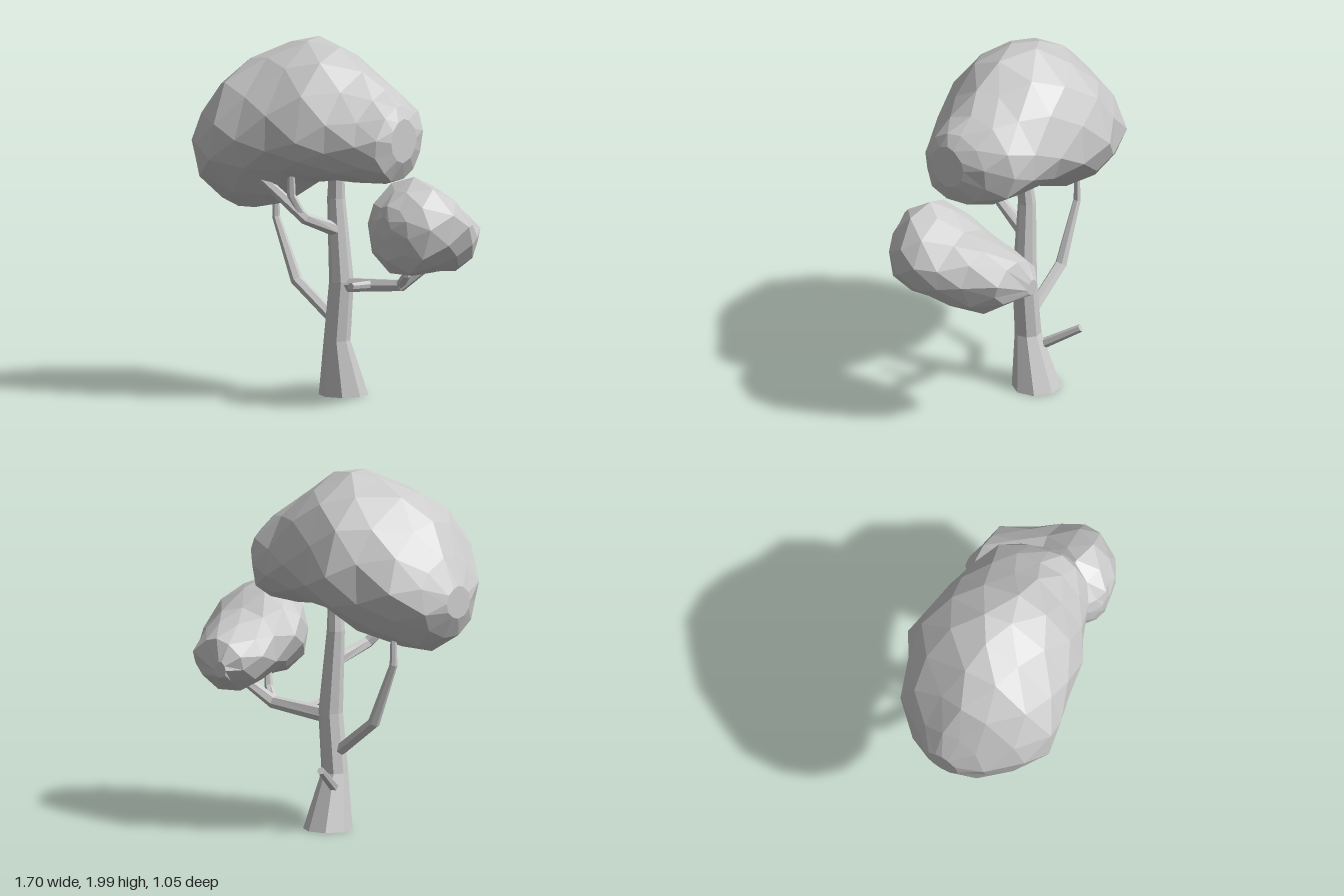
import * as THREE from 'three';

const material = new THREE.MeshStandardMaterial({
  color: 0xcccccc, flatShading: true, side: THREE.DoubleSide,
});
const V = (x, y, z) => new THREE.Vector3(x, y, z);

// Small seeded generator, returns -0.5..0.5
function seeded(seed) {
  return () => {
    seed = (seed * 16807) % 2147483647;
    return seed / 2147483647 - 0.5;
  };
}

// Joins equal-length rings into a faceted skin facing outward
function skin(name, rings, openStart = false) {
  const tris = [];
  const n = rings[0].length;
  for (let i = 0; i < rings.length - 1; i++) {
    for (let j = 0; j < n; j++) {
      const a = rings[i][j], b = rings[i][(j + 1) % n];
      const c = rings[i + 1][(j + 1) % n], d = rings[i + 1][j];
      // Split each quad along its shorter diagonal
      if (a.distanceTo(c) < b.distanceTo(d)) tris.push([a, b, c], [a, c, d]);
      else tris.push([a, b, d], [b, c, d]);
    }
  }
  // End caps as fans around the ring centres
  [rings[0], rings[rings.length - 1]].forEach((ring, end) => {
    if (openStart && end === 0) return;
    const mid = ring.reduce((s, p) => s.add(p), V(0, 0, 0)).divideScalar(n);
    ring.forEach((p, j) => {
      const q = ring[(j + 1) % n];
      tris.push(end ? [p, q, mid] : [q, p, mid]);
    });
  });
  const volume = tris.reduce((s, [a, b, c]) => s + a.dot(b.clone().cross(c)), 0);
  const positions = [];
  for (const [a, b, c] of tris) {
    for (const p of volume < 0 ? [a, c, b] : [a, b, c]) positions.push(p.x, p.y, p.z);
  }
  const geometry = new THREE.BufferGeometry();
  geometry.setAttribute('position', new THREE.Float32BufferAttribute(positions, 3));
  geometry.computeVertexNormals();
  const mesh = new THREE.Mesh(geometry, material);
  mesh.name = name;
  return mesh;
}

// Tapered limb through nodes [x, y, z, radius]; a level limb keeps its rings horizontal and its foot open
function limb(name, nodes, sides = 6, level = false) {
  const pts = nodes.map(([x, y, z]) => V(x, y, z));
  const rings = pts.map((p, i) => {
    const dir = level ? V(0, 1, 0)
      : pts[Math.min(i + 1, pts.length - 1)].clone().sub(pts[Math.max(i - 1, 0)]).normalize();
    const u = V(0.2, 0.1, 1).cross(dir).normalize();
    const w = dir.clone().cross(u);
    return Array.from({ length: sides }, (_, j) => {
      const t = ((j + 0.5) / sides) * Math.PI * 2;
      return p.clone()
        .addScaledVector(u, Math.cos(t) * nodes[i][3])
        .addScaledVector(w, Math.sin(t) * nodes[i][3]);
    });
  });
  return skin(name, rings, level);
}

// Faceted foliage mass lofted through sections [along, sideMin, sideMax, bottom, middle, top]
function foliage(name, sections, place, seed, sides) {
  const rand = seeded(seed);
  const pow = (v, e) => Math.sign(v) * Math.abs(v) ** e;
  const rings = sections.map(([s, lo, hi, bottom, middle, top], i) => {
    const inner = i > 0 && i < sections.length - 1;
    // Deep bellies taper towards their lowest point
    const belly = 1 + Math.max(0, middle - bottom - 0.24) * 2.6;
    return Array.from({ length: sides }, (_, j) => {
      const t = ((j + (i % 2) * 0.5) / sides) * Math.PI * 2 + rand() * 0.12;
      const r = 1.02 + rand() * 0.035;
      const up = Math.sin(t);
      const side = (lo + hi) / 2 + ((hi - lo) / 2) * r * pow(Math.cos(t), up > 0 ? 1.25 : belly);
      const y = middle + r * (up > 0 ? up * (top - middle) : pow(up, (1 + belly) / 2) * (middle - bottom));
      return place(s + (inner ? rand() * 0.04 : 0), side, y);
    });
  });
  return skin(name, rings);
}

export function createModel() {
  const tree = new THREE.Group();
  tree.name = 'tree';

  // Trunk with a flared, open foot
  tree.add(limb('trunk', [
    [-0.09, 0, -0.168, 0.137], [-0.09, 0.31, -0.108, 0.074], [-0.06, 0.64, -0.108, 0.068],
    [-0.09, 1.1, -0.1, 0.05], [-0.07, 1.4, -0.08, 0.035],
  ], 8, true));

  // Branches, twigs and cut stubs
  const branches = {
    rightBranch: [[-0.08, 0.4, -0.11, 0.035], [-0.37, 0.62, -0.11, 0.034],
      [-0.51, 0.96, -0.11, 0.022], [-0.51, 1.15, -0.11, 0.016]],
    leftBranch: [[-0.05, 0.62, -0.11, 0.045], [0.34, 0.65, -0.12, 0.036], [0.5, 0.8, -0.23, 0.026]],
    leftTwig: [[0.33, 0.645, -0.12, 0.026], [0.42, 0.72, -0.06, 0.024], [0.46, 0.9, -0.03, 0.018]],
    frontBranch: [[-0.07, 0.92, -0.1, 0.04], [-0.14, 1.01, 0.12, 0.034], [-0.36, 1.3, 0.33, 0.026]],
    frontTwig: [[-0.15, 1.02, 0.13, 0.026], [-0.18, 1.14, 0.19, 0.024], [-0.17, 1.32, 0.21, 0.02]],
    frontStub: [[0.14, 0.64, -0.1, 0.024], [0.16, 0.655, 0.1, 0.02]],
    backStub: [[-0.12, 0.22, -0.14, 0.03], [-0.215, 0.37, -0.38, 0.022]],
  };
  for (const [name, nodes] of Object.entries(branches)) tree.add(limb(name, nodes));

  // Large crown, lofted along x, with a low lobe over the right branch
  tree.add(foliage('largeCrown', [
    [-0.85, -0.06, 0.14, 1.24, 1.33, 1.42],
    [-0.78, -0.19, 0.28, 1.13, 1.35, 1.58],
    [-0.65, -0.33, 0.44, 1.04, 1.4, 1.75],
    [-0.49, -0.42, 0.53, 1.03, 1.43, 1.88],
    [-0.33, -0.48, 0.49, 1.08, 1.46, 1.96],
    [-0.17, -0.45, 0.45, 1.2, 1.48, 2.0],
    [0.0, -0.42, 0.42, 1.23, 1.48, 1.95],
    [0.17, -0.38, 0.34, 1.23, 1.47, 1.84],
    [0.31, -0.34, 0.27, 1.23, 1.46, 1.74],
    [0.41, -0.22, 0.21, 1.25, 1.45, 1.67],
    [0.46, -0.1, 0.13, 1.36, 1.48, 1.6],
  ], (s, side, y) => V(s, y, side), 11, 12));

  // Small crown, lofted along z, sinking towards the back
  tree.add(foliage('smallCrown', [
    [-0.53, 0.34, 0.42, 0.84, 0.88, 0.93],
    [-0.46, 0.28, 0.62, 0.8, 0.92, 1.04],
    [-0.32, 0.26, 0.72, 0.72, 0.94, 1.11],
    [-0.18, 0.26, 0.79, 0.74, 0.97, 1.16],
    [-0.05, 0.26, 0.84, 0.75, 1.02, 1.25],
    [0.06, 0.28, 0.83, 0.75, 1.03, 1.29],
    [0.17, 0.33, 0.76, 0.76, 1.02, 1.23],
    [0.24, 0.4, 0.66, 0.85, 1.03, 1.15],
    [0.27, 0.46, 0.56, 0.97, 1.03, 1.09],
  ], (s, side, y) => V(side, y, s), 29, 10));

  return tree;
}
